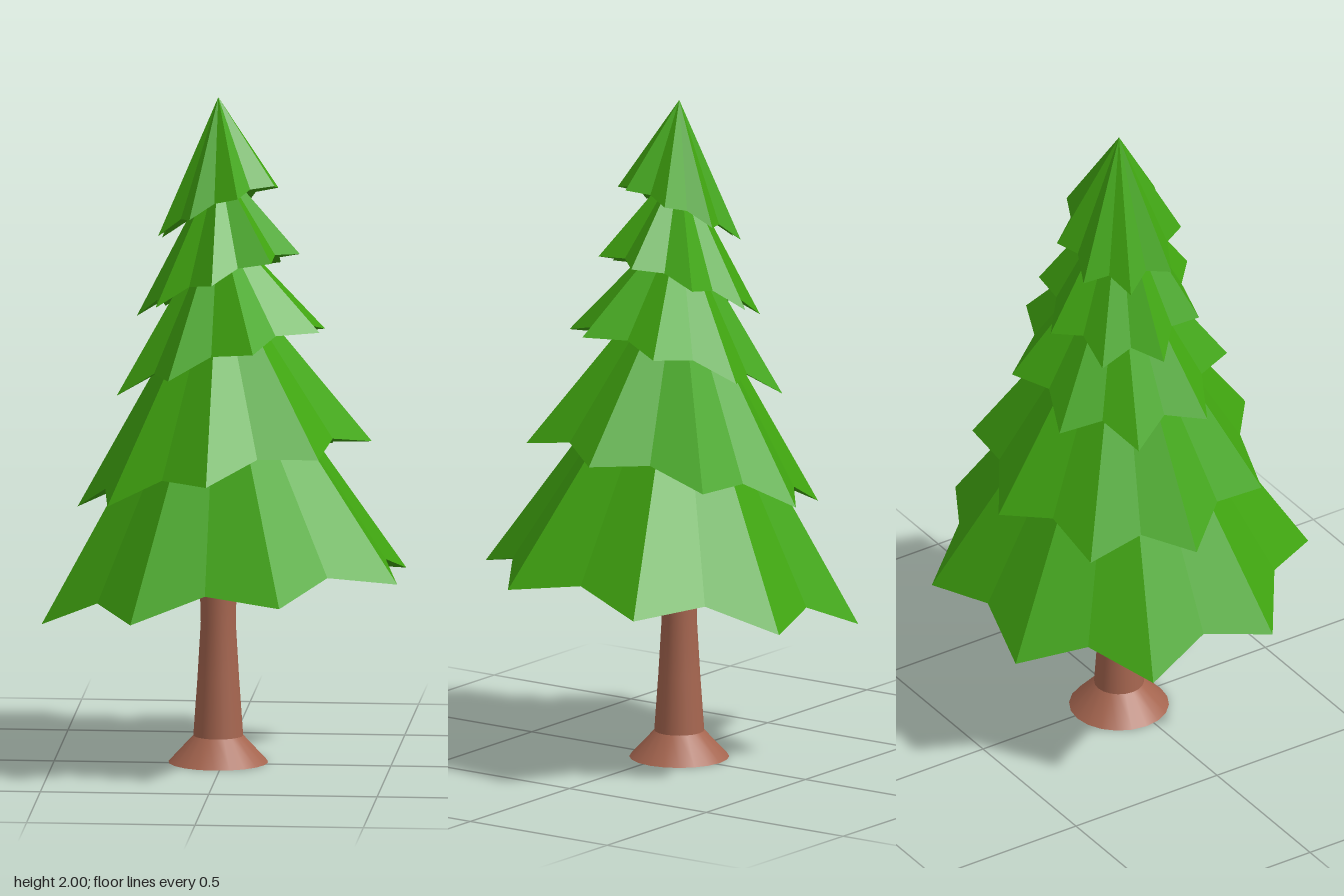
import * as THREE from 'three';

const CX = -0.015, CZ = -0.028; // trunk axis
const POINTS = 8;

// Each tier: base height, apex height, tip radius, valley ratio, tilt along x and z,
// how far the star leans off centre, and the angle of its first tip.
const TIERS = [
  { y: 0.496, top: 1.38, r: 0.567, valley: 0.84, tx: 0.13, tz: 0.07, lean: 0.05, turn: Math.PI / 8 },
  { y: 0.862, top: 1.52, r: 0.437, valley: 0.83, tx: 0.24, tz: 0.10, lean: 0.05, turn: 0 },
  { y: 1.200, top: 1.64, r: 0.324, valley: 0.78, tx: 0.33, tz: 0.13, lean: 0.04, turn: Math.PI / 8 },
  { y: 1.435, top: 1.81, r: 0.242, valley: 0.78, tx: 0.40, tz: 0.17, lean: 0, turn: 0 },
  { y: 1.655, top: 2.00, r: 0.187, valley: 0.78, tx: 0.45, tz: 0.22, lean: 0, turn: Math.PI / 8 },
];

// Star-shaped rim, tilted, with the valleys lifted above the tips
function starRim(t) {
  const rim = [];
  for (let i = 0; i < POINTS * 2; i++) {
    const a = t.turn + (i * Math.PI) / POINTS;
    const isValley = i % 2 === 1;
    const r = t.r * (isValley ? t.valley : 1) * (1 + t.lean * Math.cos(a - 0.5));
    const x = Math.cos(a) * r, z = Math.sin(a) * r;
    const y = t.y + t.tx * x + t.tz * z + (isValley ? 0.1 * t.r : 0);
    rim.push([CX + x, y, CZ + z]);
  }
  return rim;
}

// Fan of triangles from a centre point to the rim, facing up or down
function fan(rim, centre, up) {
  const n = rim.length, index = [];
  for (let i = 0; i < n; i++) {
    const j = (i + 1) % n;
    index.push(n, up ? j : i, up ? i : j);
  }
  const geo = new THREE.BufferGeometry();
  geo.setAttribute('position', new THREE.Float32BufferAttribute([...rim, centre].flat(), 3));
  geo.setIndex(index);
  const out = up ? geo.toNonIndexed() : geo; // faceted top, smooth underside
  out.computeVertexNormals();
  return out;
}

function lathe(profile, sides) {
  return new THREE.LatheGeometry(profile.map(([r, y]) => new THREE.Vector2(r, y)), sides);
}

export function createModel() {
  const model = new THREE.Group();
  model.name = 'pineTree';

  const needles = new THREE.MeshStandardMaterial({ color: 0x40a510 });
  needles.name = 'needle green';
  const bark = new THREE.MeshStandardMaterial({ color: 0xa5654f, side: THREE.DoubleSide });
  bark.name = 'bark brown';

  const add = (parent, name, geo, mat) => {
    const mesh = new THREE.Mesh(geo, mat);
    mesh.name = name;
    parent.add(mesh);
    return mesh;
  };

  // Trunk and flared foot, open underneath
  const trunk = new THREE.Group();
  trunk.name = 'trunk';
  trunk.position.set(CX, 0, CZ);
  add(trunk, 'rootFlare', lathe([[0.148, 0], [0.074, 0.08]], 20), bark);
  add(trunk, 'trunkStem',
    lathe([[0.074, 0.08], [0.062, 0.25], [0.052, 0.42], [0.056, 0.58], [0.06, 0.72]], 20), bark);
  model.add(trunk);

  // Branch tiers with shallow hollow undersides
  TIERS.forEach((t, i) => {
    const tier = new THREE.Group();
    tier.name = 'branchTier' + (i + 1);
    const rim = starRim(t);
    add(tier, 'branchTop', fan(rim, [CX, t.top, CZ], true), needles);
    add(tier, 'branchUnderside', fan(rim, [CX, t.y + 0.22 * t.r, CZ], false), needles);
    model.add(tier);
  });

  return model;
}
